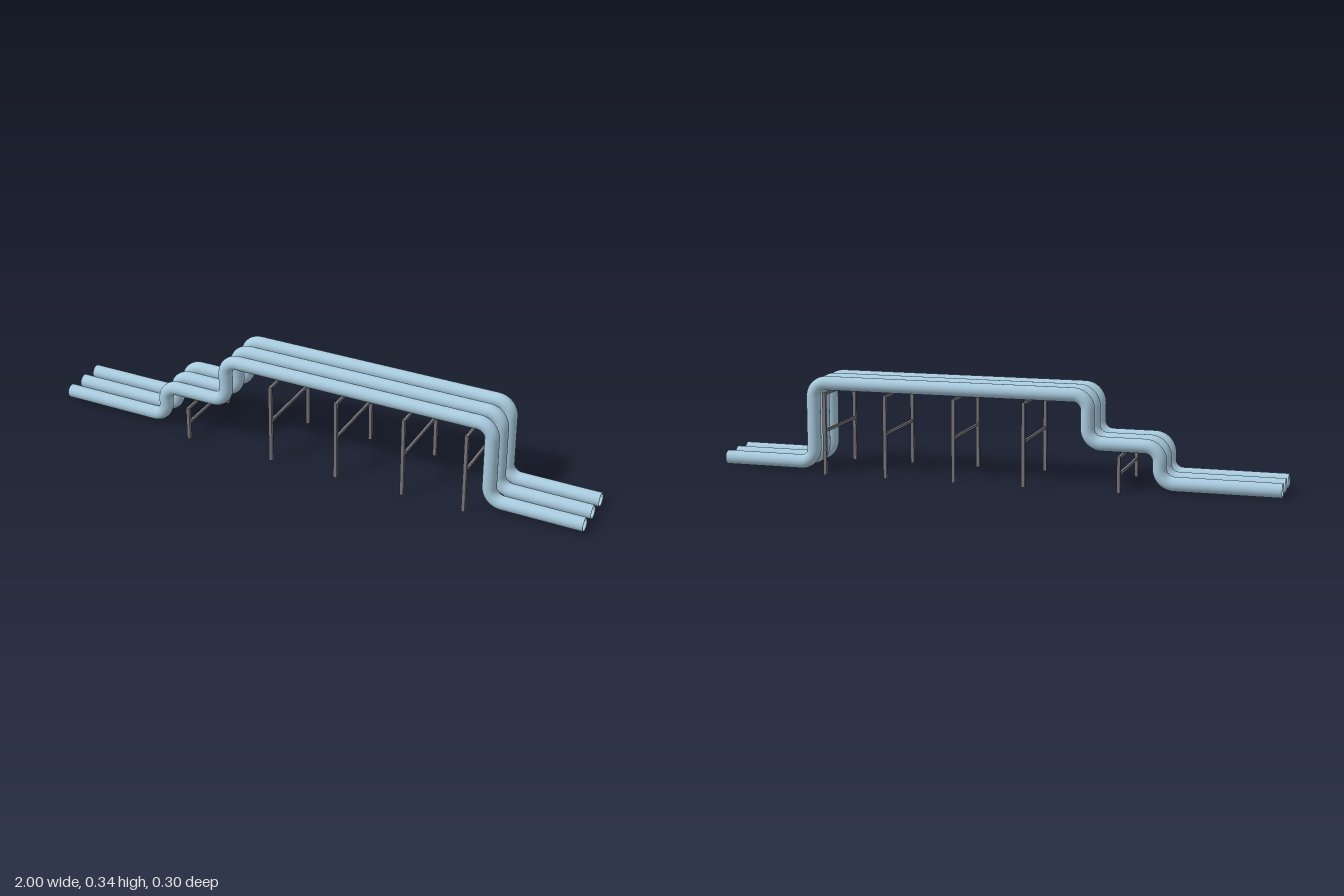
import * as THREE from 'three';

const R = 0.0247, BORE = 0.0215, BEND = 0.05;
const Y = { low: 0.03, mid: 0.154, high: 0.3173 };
const X = { a: -0.587, b: -0.337, c: 0.663 }; // risers

export function createModel() {
  const model = new THREE.Group();
  const pipeBlue = new THREE.MeshStandardMaterial({ color: 0xa8cade, side: THREE.DoubleSide });
  const steelGrey = new THREE.MeshStandardMaterial({ color: 0x77757c });

  const add = (parent, name, geometry, material, x, y, z) => {
    const mesh = new THREE.Mesh(geometry, material);
    mesh.name = name;
    mesh.position.set(x, y, z);
    parent.add(mesh);
    return mesh;
  };

  // Straight runs: [x0, y0, x1, y1]
  const runs = [
    [-1, Y.low, X.a - BEND, Y.low],
    [X.a, Y.low + BEND, X.a, Y.mid - BEND],
    [X.a + BEND, Y.mid, X.b - BEND, Y.mid],
    [X.b, Y.mid + BEND, X.b, Y.high - BEND],
    [X.b + BEND, Y.high, X.c - BEND, Y.high],
    [X.c, Y.high - BEND, X.c, Y.low + BEND],
    [X.c + BEND, Y.low, 1, Y.low],
  ];

  // Elbows: [centre x, centre y, start angle in quarter turns]
  const elbows = [
    [X.a - BEND, Y.low + BEND, 3],
    [X.a + BEND, Y.mid - BEND, 1],
    [X.b - BEND, Y.mid + BEND, 3],
    [X.b + BEND, Y.high - BEND, 1],
    [X.c - BEND, Y.high - BEND, 0],
    [X.c + BEND, Y.low + BEND, 2],
  ];

  // Three parallel hollow pipes
  for (const z of [-0.083, 0, 0.083]) {
    const pipe = new THREE.Group();
    pipe.name = 'pipe';
    for (const [r, wall] of [[R, 'Outer'], [BORE, 'Inner']]) {
      for (const [x0, y0, x1, y1] of runs) {
        const length = Math.hypot(x1 - x0, y1 - y0);
        const run = add(pipe, 'straight' + wall, new THREE.CylinderGeometry(r, r, length, 32, 1, true),
          pipeBlue, (x0 + x1) / 2, (y0 + y1) / 2, z);
        if (y0 === y1) run.rotation.z = Math.PI / 2;
      }
      for (const [x, y, quarter] of elbows) {
        const elbow = add(pipe, 'elbow' + wall, new THREE.TorusGeometry(BEND, r, 32, 12, Math.PI / 2),
          pipeBlue, x, y, z);
        elbow.rotation.z = quarter * Math.PI / 2;
      }
    }
    // Rims closing the wall at the open ends
    for (const side of [-1, 1]) {
      const rim = add(pipe, 'endRim', new THREE.RingGeometry(BORE, R, 32), pipeBlue, side, Y.low, z);
      rim.rotation.y = side * Math.PI / 2;
    }
    model.add(pipe);
  }

  // Support frames: two posts, a top beam and a lower brace
  const frame = (x, height, braceY) => {
    const support = new THREE.Group();
    support.name = 'supportFrame';
    for (const side of [-1, 1]) {
      add(support, 'post', new THREE.BoxGeometry(0.012, height, 0.012), steelGrey, x, height / 2, side * 0.142);
    }
    add(support, 'topBeam', new THREE.BoxGeometry(0.009, 0.009, 0.272), steelGrey, x, height - 0.0046, 0);
    add(support, 'brace', new THREE.BoxGeometry(0.009, 0.009, 0.272), steelGrey, x, braceY, 0);
    model.add(support);
  };
  frame(-0.46, 0.126, 0.064);
  for (const x of [-0.128, 0.122, 0.372, 0.597]) frame(x, 0.293, 0.157);

  return model;
}
